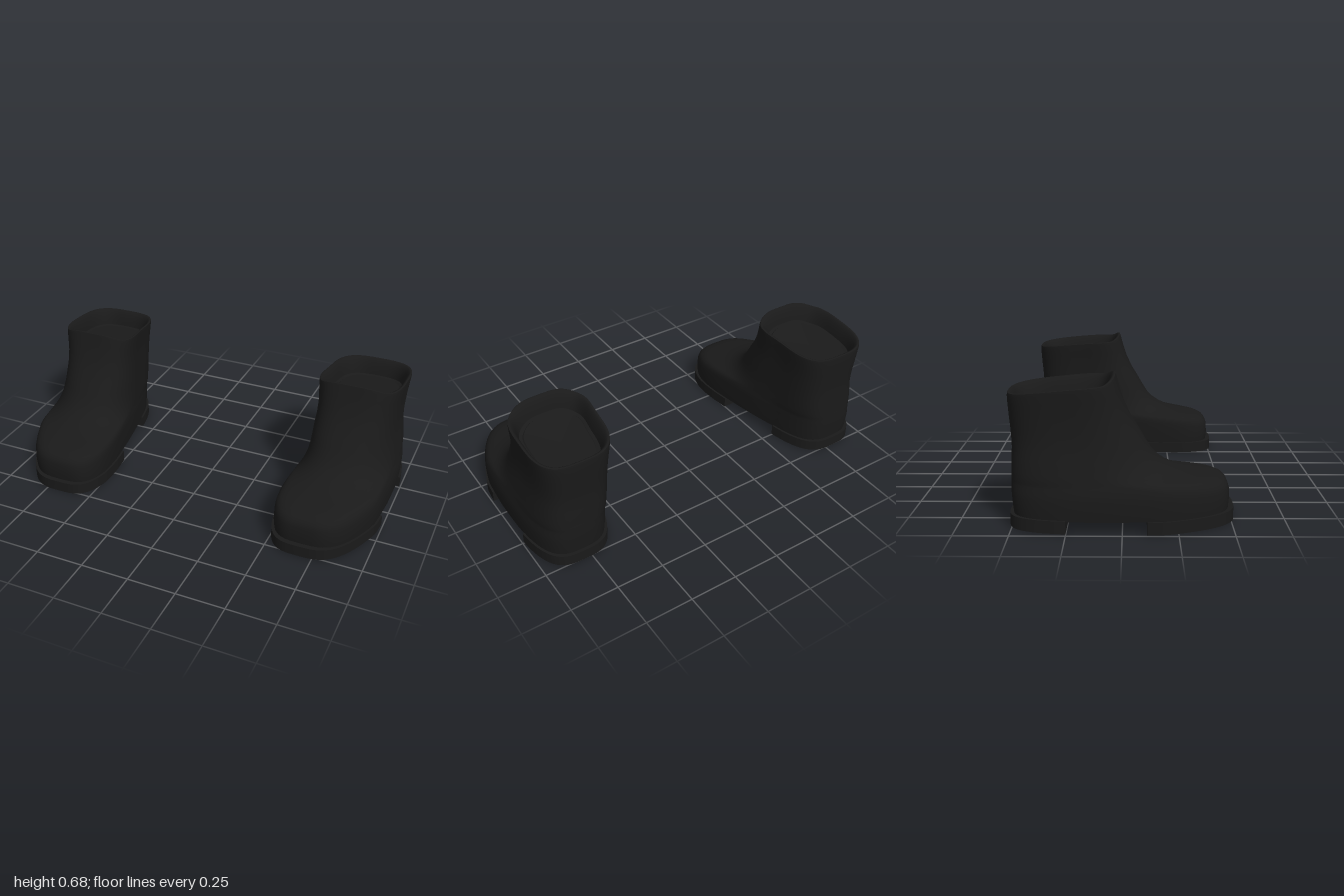
import * as THREE from 'three';
import { toCreasedNormals } from 'three/addons/utils/BufferGeometryUtils.js';

const N = 64;
const leather = new THREE.MeshStandardMaterial({ color: 0x1a1a1a });
const clamp = THREE.MathUtils.clamp;

// Footprint of the left boot: [z, centre x, half width]
const FOOT = [
  [-0.51, 0.79, 0.21], [-0.25, 0.78, 0.217], [0, 0.757, 0.238],
  [0.2, 0.735, 0.247], [0.35, 0.705, 0.237], [0.51, 0.68, 0.22],
];
function foot(z) {
  let i = 0;
  while (i < FOOT.length - 2 && z > FOOT[i + 1][0]) i++;
  const [a, b] = [FOOT[i], FOOT[i + 1]];
  const t = clamp((z - a[0]) / (b[0] - a[0]), 0, 1);
  return [a[1] + (b[1] - a[1]) * t, a[2] + (b[2] - a[2]) * t];
}

// Levels of the upper: [y, back z, front z, width factor, front roundness]
const LEVELS = [
  [0.058, -0.495, 0.49, 0.97, 0.58], [0.1, -0.5, 0.494, 0.985, 0.58],
  [0.15, -0.504, 0.492, 0.99, 0.6], [0.175, -0.505, 0.483, 0.985, 0.62],
  [0.193, -0.505, 0.467, 0.98, 0.65], [0.206, -0.505, 0.44, 0.97, 0.7],
  [0.214, -0.505, 0.405, 0.965, 0.76], [0.222, -0.505, 0.36, 0.96, 0.82],
  [0.23, -0.505, 0.31, 0.955, 0.87], [0.245, -0.504, 0.252, 0.95, 0.9],
  [0.265, -0.504, 0.208, 0.94, 0.9], [0.29, -0.503, 0.17, 0.93, 0.9],
  [0.325, -0.502, 0.135, 0.92, 0.88], [0.37, -0.5, 0.105, 0.905, 0.86],
  [0.42, -0.502, 0.073, 0.9, 0.82], [0.47, -0.505, 0.038, 0.9, 0.78],
  [0.53, -0.51, 0.007, 0.91, 0.72], [0.59, -0.514, -0.015, 0.935, 0.66],
  [0.635, -0.516, -0.029, 0.955, 0.62], [0.65, -0.514, -0.034, 0.955, 0.62],
];

// One closed cross-section; inset and drop shape the inside of the collar
function ring([y, back, front, f, pFront], inset = 0, drop = 0) {
  const mid = (back + front) / 2, half = (front - back) / 2, pts = [];
  const shift = -0.02 * clamp((y - 0.15) / 0.25, 0, 1);
  const rise = clamp((y - 0.35) / 0.3, 0, 1);
  for (let i = 0; i < N; i++) {
    const a = (i / N) * Math.PI * 2, c = Math.cos(a), s = Math.sin(a);
    const p = c > 0 ? pFront : 0.62;
    const u = Math.sign(c) * Math.abs(c) ** p, v = Math.sign(s) * Math.abs(s) ** p;
    const z = mid + half * u;
    const [cx, w] = foot(z);
    // Top edge falls to the back and peaks at the front
    const tilt = 0.03 * clamp((z + 0.1) / 0.065, 0, 1) ** 2
      - 0.035 * clamp((-0.1 - z) / 0.41, 0, 1) ** 1.4;
    pts.push([cx + shift + (w * f - inset) * v, y + rise * tilt - drop, mid + (half - inset) * u]);
  }
  return pts;
}

function collapse(pts) {
  const c = [0, 1, 2].map((k) => pts.reduce((sum, p) => sum + p[k], 0) / N);
  return pts.map(() => c);
}

function loft(rings) {
  const index = [];
  for (let k = 0; k < rings.length - 1; k++) {
    for (let i = 0; i < N; i++) {
      const a = k * N + i, b = k * N + ((i + 1) % N);
      index.push(a, b, b + N, a, b + N, a + N);
    }
  }
  const geo = new THREE.BufferGeometry();
  geo.setAttribute('position', new THREE.Float32BufferAttribute(rings.flat(2), 3));
  geo.setIndex(index);
  geo.computeVertexNormals();
  return geo;
}

function upperGeometry() {
  const walls = LEVELS.map((l) => ring(l));
  return loft([collapse(walls[0]), walls[0], ...walls]);
}

// Rounded lip, sloping inside wall and the insert that closes the opening
function liningGeometry() {
  const top = LEVELS[LEVELS.length - 1];
  const steps = [[0, 0], [0.006, -0.003], [0.014, 0.002], [0.024, 0.02], [0.034, 0.05], [0.04, 0.085]];
  const rings = steps.map(([inset, drop]) => ring(top, inset, drop));
  const ledge = ring(top, 0.055, 0.09);
  const floor = ring(top, 0.06, 0.085);
  return loft([...rings, rings[5], ledge, ledge, floor, floor, collapse(floor)]);
}

// Slab following the footprint between two z values
function soleGeometry(z0, z1, y, height) {
  const mid = 0.002, half = 0.514, n = 3.3, steps = 40, left = [], right = [];
  for (let i = 0; i <= steps; i++) {
    const z = (z0 + z1) / 2 - Math.cos((i / steps) * Math.PI) * (z1 - z0) / 2;
    const u = Math.min(1, Math.abs(z - mid) / half);
    const [cx, w] = foot(z);
    const hw = Math.max(0.002, (w + 0.003) * (1 - u ** n) ** (1 / n));
    left.push(new THREE.Vector2(cx + hw, -z));
    right.unshift(new THREE.Vector2(cx - hw, -z));
  }
  const geo = new THREE.ExtrudeGeometry(new THREE.Shape([...left, ...right]), { depth: height, bevelEnabled: false });
  geo.rotateX(-Math.PI / 2).translate(0, y, 0);
  return toCreasedNormals(geo, 0.7);
}

function mirrored(source) {
  const geo = source.clone().scale(-1, 1, 1);
  const index = geo.index ? Array.from(geo.index.array) : Array.from({ length: geo.attributes.position.count }, (_, i) => i);
  for (let i = 0; i < index.length; i += 3) [index[i], index[i + 1]] = [index[i + 1], index[i]];
  geo.setIndex(index);
  return geo;
}

export function createModel() {
  const parts = {
    upper: upperGeometry(),
    collarLining: liningGeometry(),
    frontSole: soleGeometry(0.11, 0.516, 0, 0.058),
    heel: soleGeometry(-0.512, -0.25, 0.006, 0.058),
  };
  const model = new THREE.Group();
  model.name = 'boots';
  for (const side of ['left', 'right']) {
    const boot = new THREE.Group();
    boot.name = side + 'Boot';
    for (const [name, geo] of Object.entries(parts)) {
      const mesh = new THREE.Mesh(side === 'left' ? geo : mirrored(geo), leather);
      mesh.name = name;
      boot.add(mesh);
    }
    model.add(boot);
  }
  return model;
}
